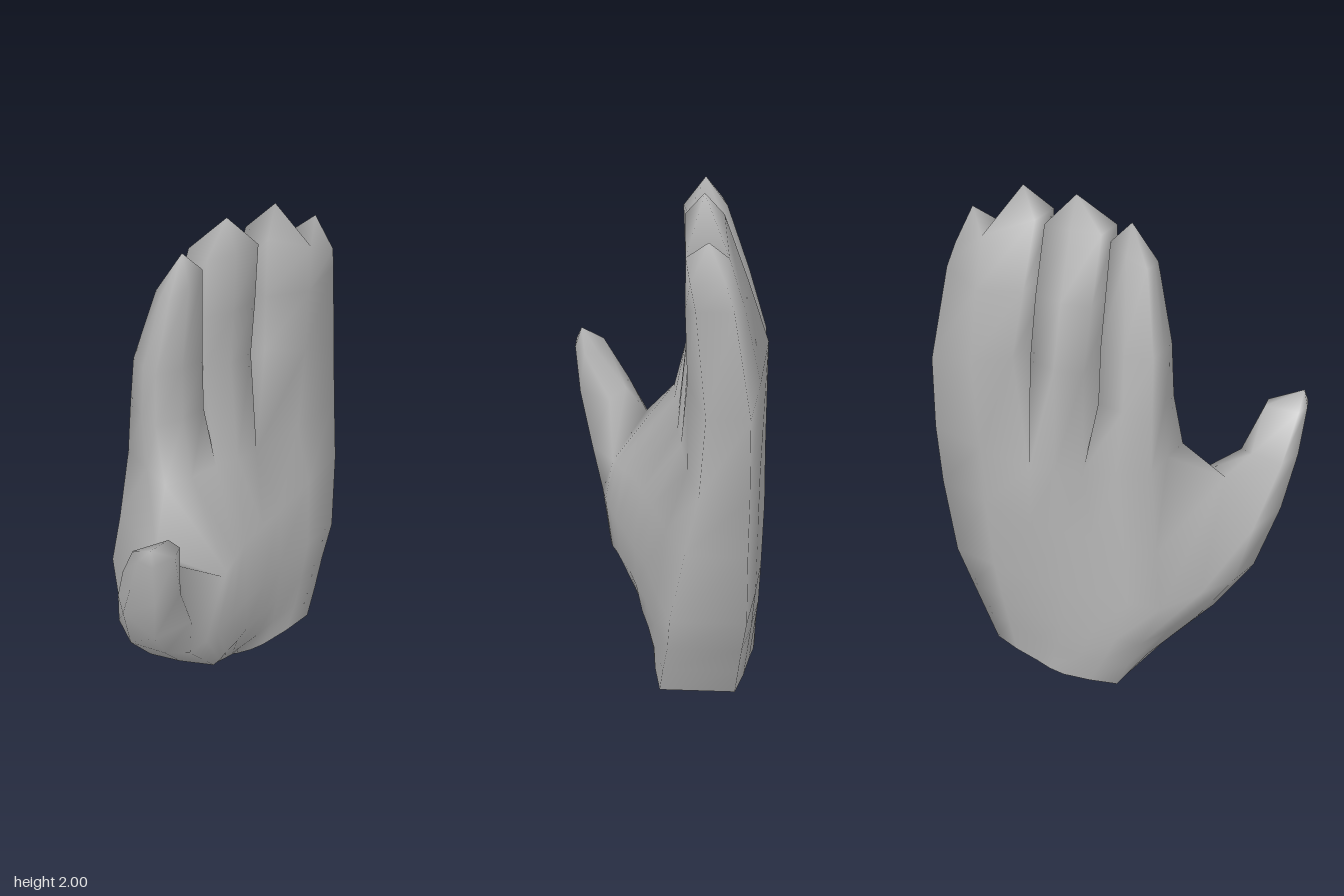
import * as THREE from 'three';
import { mergeVertices } from 'three/addons/utils/BufferGeometryUtils.js';

// Seven points along one face of the hand: four given, three bulging midpoints between them
function row(p, bulge) {
  const out = [];
  p.forEach((a, i) => {
    out.push(a);
    const b = p[i + 1];
    if (b) out.push([(a[0] + b[0]) / 2, (a[1] + b[1]) / 2, (a[2] + b[2]) / 2 + bulge]);
  });
  return out;
}

// Closed ring: front row (-x to +x), back row (+x to -x), then the thumb side
const ring = (front, back, side, bulge) => [...row(front, bulge), ...row(back, -bulge), ...side];

// Six-sided finger ring from its outline
const fingerRing = (y, x0, x1, front, back) => {
  const m = (x0 + x1) / 2, e = 0.02;
  return [[x0, y, front - e], [m, y, front], [x1, y, front - e], [x1, y, back + e], [m, y, back], [x0, y, back + e]];
};

export function createModel() {
  const positions = [];
  const parts = [];
  const tri = (...p) => p.forEach((v) => positions.push(...v));

  const loft = (rings) => {
    for (let r = 0; r + 1 < rings.length; r++) {
      const a = rings[r], b = rings[r + 1], n = a.length;
      for (let i = 0; i < n; i++) {
        const j = (i + 1) % n;
        tri(a[i], a[j], b[j]);
        tri(a[i], b[j], b[i]);
      }
    }
  };
  const tip = (r, apex) => r.forEach((p, i) => tri(p, r[(i + 1) % r.length], apex));
  const part = (name, build) => {
    const start = positions.length / 3;
    build();
    parts.push({ name, start, end: positions.length / 3 });
  };

  // Palm rings from the open wrist up to where the thumb branches
  const wrist = ring(
    [[-0.14, 0, -0.075], [0.02, 0, 0.01], [0.15, 0, 0.03], [0.43, 0, -0.01]],
    [[0.43, 0, -0.31], [0.2, 0, -0.37], [0.06, 0, -0.395], [-0.165, 0, -0.345]],
    [[-0.17, 0, -0.29], [-0.17, 0, -0.23], [-0.175, 0, -0.16], [-0.18, 0, -0.095], [-0.17, 0, -0.09], [-0.155, 0, -0.083]], 0.006);
  const base = ring(
    [[-0.12, 0.135, 0.12], [-0.04, 0.135, 0.105], [0.19, 0.135, 0.05], [0.48, 0.135, -0.025]],
    [[0.48, 0.135, -0.32], [0.19, 0.135, -0.385], [-0.02, 0.135, -0.4], [-0.222, 0.135, -0.36]],
    [[-0.26, 0.135, -0.27], [-0.285, 0.135, -0.17], [-0.3, 0.13, -0.08], [-0.27, 0.135, 0.02], [-0.205, 0.135, 0.095], [-0.16, 0.135, 0.12]], 0.005);
  const heel = ring(
    [[-0.18, 0.27, 0.21], [-0.02, 0.27, 0.14], [0.2, 0.27, 0.06], [0.53, 0.27, -0.045]],
    [[0.53, 0.27, -0.33], [0.18, 0.27, -0.4], [-0.08, 0.27, -0.4], [-0.28, 0.27, -0.37]],
    [[-0.34, 0.27, -0.24], [-0.4, 0.26, -0.1], [-0.425, 0.25, 0.02], [-0.36, 0.27, 0.14], [-0.26, 0.27, 0.24], [-0.22, 0.27, 0.23]], 0.005);
  const middle = ring(
    [[-0.24, 0.45, 0.24], [-0.04, 0.45, 0.16], [0.22, 0.45, 0.055], [0.585, 0.43, -0.055]],
    [[0.585, 0.43, -0.345], [0.18, 0.45, -0.405], [-0.1, 0.46, -0.39], [-0.365, 0.47, -0.365]],
    [[-0.45, 0.45, -0.18], [-0.53, 0.45, -0.04], [-0.56, 0.45, 0.1], [-0.48, 0.45, 0.23], [-0.4, 0.45, 0.285], [-0.31, 0.45, 0.265]], 0.005);
  const branch = ring(
    [[-0.17, 0.7, 0.205], [-0.02, 0.72, 0.12], [0.22, 0.72, 0.03], [0.63, 0.75, -0.11]],
    [[0.635, 0.75, -0.34], [0.18, 0.72, -0.41], [-0.08, 0.72, -0.38], [-0.33, 0.7, -0.34]],
    [[-0.42, 0.835, 0.09], [-0.57, 0.66, 0.04], [-0.63, 0.7, 0.18], [-0.585, 0.66, 0.33], [-0.42, 0.66, 0.33], [-0.2, 0.7, 0.22]], 0.005);

  // Knuckle ring, shared by the bases of all the fingers
  const knuckles = ring(
    [[-0.29, 1.02, -0.035], [-0.035, 1, -0.06], [0.18, 0.97, -0.08], [0.65, 1, -0.16]],
    [[0.65, 1, -0.34], [0.18, 0.97, -0.405], [-0.035, 1, -0.37], [-0.29, 1.03, -0.31]],
    [[-0.29, 1.03, -0.17]], 0.008);
  const k = (...ids) => ids.map((i) => knuckles[i]);

  part('palm', () => {
    loft([wrist, base, heel, middle, branch]);
    loft([[...branch.slice(0, 15), branch[19]], [...knuckles, knuckles[0]]]);
  });

  part('thumb', () => {
    const top = [[-0.49, 1.07, 0.3], [-0.635, 1.08, 0.29], [-0.65, 1.08, 0.35],
      [-0.63, 1.08, 0.41], [-0.53, 1.08, 0.405], [-0.48, 1.07, 0.36]];
    loft([
      branch.slice(14, 20),
      [[-0.49, 0.91, 0.185], [-0.62, 0.9, 0.18], [-0.65, 0.9, 0.28], [-0.61, 0.88, 0.385], [-0.5, 0.88, 0.385], [-0.42, 0.88, 0.25]],
      top,
    ]);
    tip(top, [-0.62, 1.135, 0.385]);
  });

  part('indexFinger', () => {
    // Side point added to each six-sided ring to meet the web of the thumb
    const withSide = (r) => [...r, [r[0][0] - 0.005, r[0][1], (r[0][2] + r[5][2]) / 2]];
    const top = withSide(fingerRing(1.82, -0.205, -0.06, -0.08, -0.21));
    top[2][1] = top[3][1] = 1.86;
    top[0][1] = top[5][1] = top[6][1] = 1.78;
    loft([
      k(0, 1, 2, 11, 12, 13, 14),
      withSide(fingerRing(1.26, -0.28, -0.06, -0.085, -0.31)),
      withSide(fingerRing(1.48, -0.27, -0.058, -0.09, -0.285)),
      top,
    ]);
    tip(top, [-0.12, 1.925, -0.14]);
  });

  part('middleFinger', () => {
    const top = fingerRing(1.89, -0.04, 0.19, -0.08, -0.24);
    loft([
      k(2, 3, 4, 9, 10, 11),
      fingerRing(1.42, -0.047, 0.175, -0.1, -0.395),
      fingerRing(1.65, -0.045, 0.185, -0.09, -0.325),
      top,
    ]);
    tip(top, [0.09, 2, -0.16]);
  });

  // Ring and little finger, joined up to a notch at the tips
  part('outerFingers', () => {
    const top = [[0.225, 1.9, -0.09], [0.44, 1.81, -0.1], [0.565, 1.76, -0.12],
      [0.565, 1.76, -0.24], [0.44, 1.81, -0.25], [0.225, 1.9, -0.23]];
    loft([
      k(4, 5, 6, 7, 8, 9),
      [[0.235, 1.42, -0.11], [0.44, 1.35, -0.11], [0.645, 1.3, -0.18], [0.645, 1.3, -0.335], [0.44, 1.35, -0.37], [0.235, 1.43, -0.4]],
      [[0.228, 1.66, -0.1], [0.44, 1.62, -0.1], [0.59, 1.67, -0.14], [0.59, 1.67, -0.27], [0.44, 1.62, -0.31], [0.228, 1.66, -0.32]],
      top,
    ]);
    tip([top[0], top[1], top[4], top[5]], [0.31, 2, -0.16]);
    tip([top[1], top[2], top[3], top[4]], [0.52, 1.89, -0.18]);
  });

  // Weld all parts so that shading runs smoothly across their seams
  const raw = new THREE.BufferGeometry();
  raw.setAttribute('position', new THREE.Float32BufferAttribute(positions, 3));
  const welded = mergeVertices(raw, 1e-4);
  welded.computeVertexNormals();

  const gray = new THREE.MeshStandardMaterial({ color: 0xb2b2b2, side: THREE.DoubleSide });
  gray.name = 'gray';
  const group = new THREE.Group();
  group.name = 'hand';
  const index = Array.from(welded.index.array);
  for (const { name, start, end } of parts) {
    const g = new THREE.BufferGeometry();
    g.setAttribute('position', welded.getAttribute('position'));
    g.setAttribute('normal', welded.getAttribute('normal'));
    g.setIndex(index.slice(start, end));
    const mesh = new THREE.Mesh(g, gray);
    mesh.name = name;
    group.add(mesh);
  }
  return group;
}
